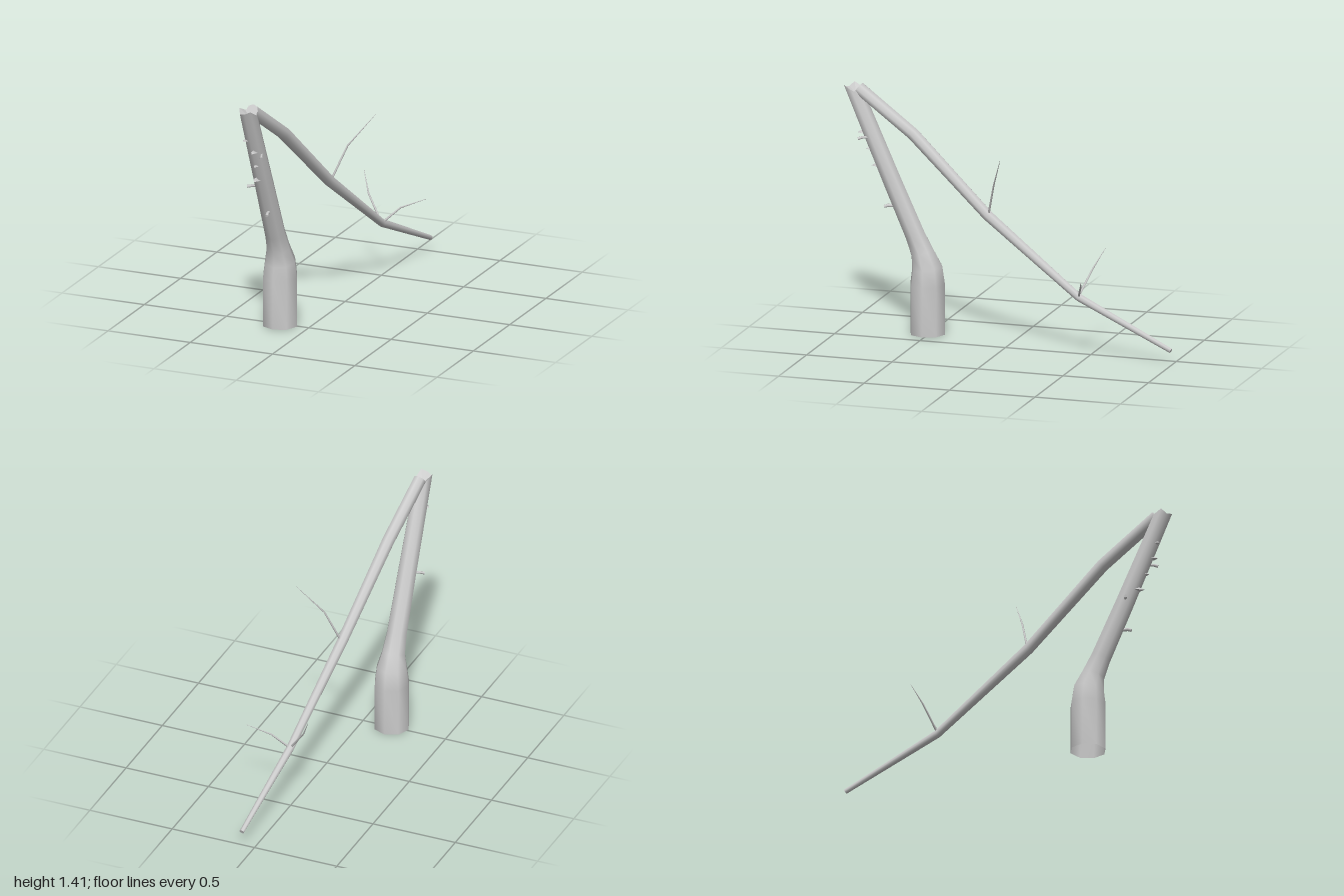
import * as THREE from 'three';

const V = (p) => new THREE.Vector3(...p);

// Smooth round tube through [x, y, z, radius] stations; rim offsets shift the last ring along the axis.
function loft(stations, sides, { startCap = false, rim = [0], dip = 0 } = {}) {
  const centres = stations.map((s) => V(s.slice(0, 3)));
  const pos = [], index = [], rings = [], axes = [];
  const last = centres.length - 1;
  centres.forEach((c, i) => {
    const axis = new THREE.Vector3();
    if (i > 0) axis.add(c.clone().sub(centres[i - 1]).normalize());
    if (i < last) axis.add(centres[i + 1].clone().sub(c).normalize());
    axis.normalize();
    axes.push(axis);
    const u = new THREE.Vector3(1, 0, 0).addScaledVector(axis, -axis.x).normalize();
    const v = axis.clone().cross(u);
    const ring = [];
    for (let j = 0; j < sides; j++) {
      const a = (j / sides) * Math.PI * 2, r = stations[i][3];
      const p = c.clone().addScaledVector(u, Math.cos(a) * r).addScaledVector(v, Math.sin(a) * r);
      if (i === last) p.addScaledVector(axis, rim[j % rim.length]);
      ring.push(p);
      pos.push(p.x, p.y, p.z);
    }
    rings.push(ring);
  });
  for (let i = 0; i < last; i++) {
    for (let j = 0; j < sides; j++) {
      const k = (j + 1) % sides, a = i * sides, b = a + sides;
      index.push(a + j, a + k, b + j, a + k, b + k, b + j);
    }
  }
  // Caps use their own vertices so the edge stays sharp
  const cap = (ring, centre, flip) => {
    ring.forEach((p, j) => {
      const q = ring[(j + 1) % sides], n = pos.length / 3;
      const order = flip ? [centre, q, p] : [centre, p, q];
      order.forEach((w) => pos.push(w.x, w.y, w.z));
      index.push(n, n + 1, n + 2);
    });
  };
  if (startCap) cap(rings[0], centres[0], true);
  cap(rings[last], centres[last].clone().addScaledVector(axes[last], -dip), false);
  const g = new THREE.BufferGeometry();
  g.setAttribute('position', new THREE.Float32BufferAttribute(pos, 3));
  g.setIndex(index);
  g.computeVertexNormals();
  return g;
}

export function createModel() {
  const model = new THREE.Group();
  model.name = 'brokenTree';
  // Double sided because the trunk is open underneath
  const bark = new THREE.MeshStandardMaterial({ color: 0xcccccc, side: THREE.DoubleSide });
  bark.name = 'paleBark';
  const add = (name, geometry) => {
    const mesh = new THREE.Mesh(geometry, bark);
    mesh.name = name;
    model.add(mesh);
    return mesh;
  };

  // Leaning trunk, hollow underneath, with a splintered top
  add('trunk', loft([
    [-0.17, 0, 0.51, 0.102],
    [-0.17, 0.28, 0.51, 0.102],
    [-0.169, 0.375, 0.513, 0.09],
    [-0.168, 0.46, 0.54, 0.068],
    [-0.168, 0.56, 0.584, 0.059],
    [-0.168, 0.86, 0.718, 0.055],
    [-0.172, 1.355, 0.935, 0.049],
  ], 8, { rim: [0.01, 0, 0, 0.01, 0.05, 0.035, 0.05, 0.06], dip: 0.015 }));

  // Snapped upper stem hanging down behind the trunk
  add('fallenStem', loft([
    [-0.165, 1.378, 0.91, 0.038],
    [-0.118, 1.15, 0.577, 0.037],
    [-0.043, 0.738, 0.117, 0.032],
    [0.03, 0.33, -0.44, 0.023],
    [0.08, 0.08, -0.994, 0.014],
  ], 8, { startCap: true }));

  // Thin twigs with one bend each
  [
    [[-0.035, 0.745, 0.11, 0.007], [0.04, 0.938, 0.055, 0.005], [0.175, 1.115, -0.025, 0.001]],
    [[0.035, 0.335, -0.44, 0.007], [0.125, 0.42, -0.482, 0.005], [0.26, 0.475, -0.525, 0.001]],
    [[0.02, 0.345, -0.44, 0.007], [-0.073, 0.475, -0.488, 0.005], [-0.125, 0.585, -0.545, 0.001]],
  ].forEach((path) => add('twig', loft(path, 5)));

  // Short hooked stubs of broken branches
  [
    [[-0.2, 0.88, 0.735, 0.007], [-0.235, 0.88, 0.752, 0.008], [-0.26, 0.875, 0.76, 0.009]],
    [[-0.135, 1.107, 0.84, 0.007], [-0.12, 1.107, 0.88, 0.008], [-0.113, 1.1, 0.9, 0.009]],
    [[-0.155, 0.72, 0.68, 0.008], [-0.148, 0.722, 0.735, 0.01], [-0.143, 0.715, 0.756, 0.009]],
  ].forEach((path) => add('branchStub', loft(path, 6)));

  // Raised bark chips on the front: [x, y, width]
  [[-0.2, 1.205, 0.034], [-0.162, 1.132, 0.042], [-0.167, 1.037, 0.032], [-0.18, 0.945, 0.054]].forEach(([x, y, w]) => {
    const chip = add('barkChip', new THREE.ConeGeometry(w * 0.58, w * 0.35, 3));
    chip.position.set(x, y, 0.615 + (y - 0.5) * 0.443);
  });
  return model;
}
